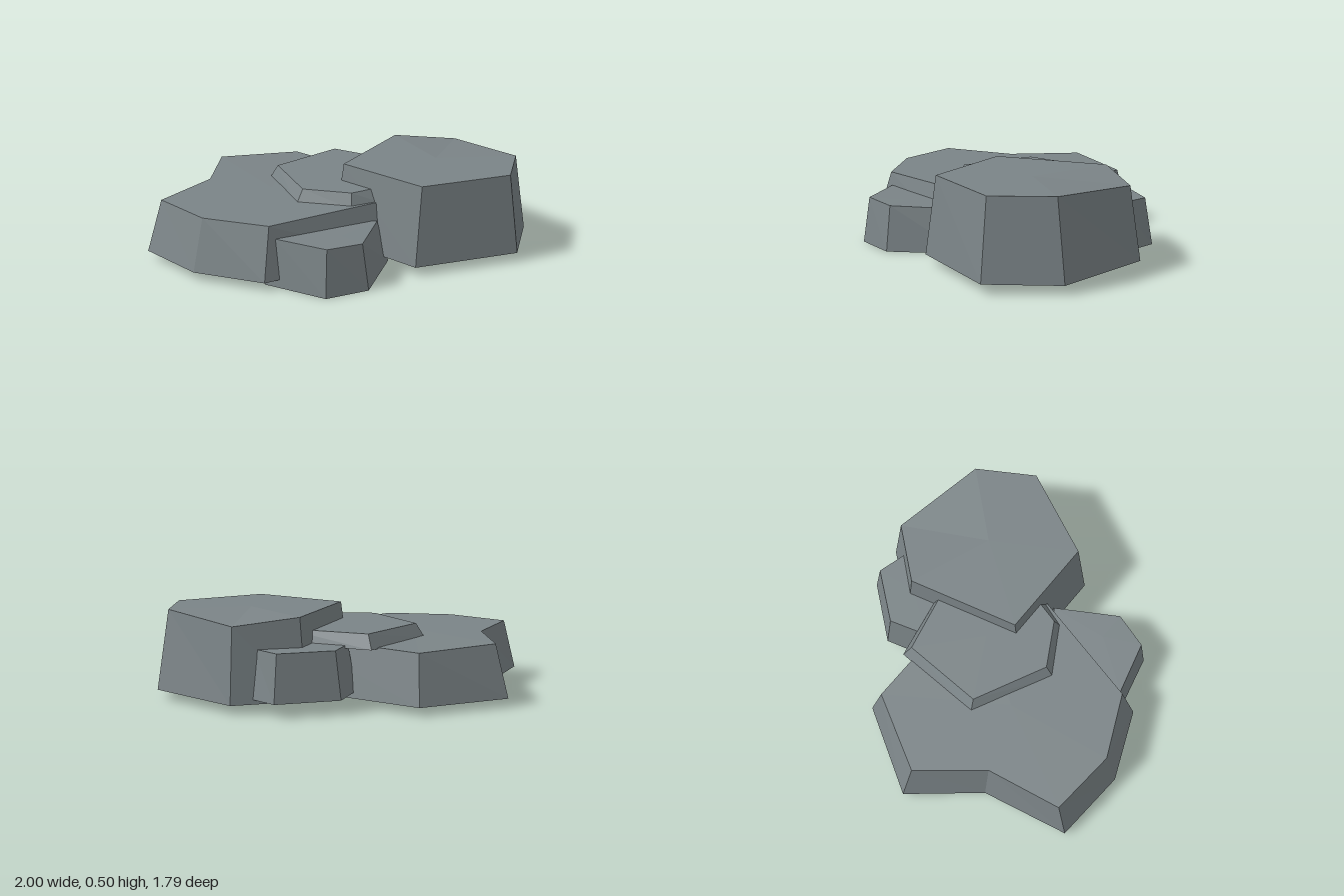
import * as THREE from 'three';

const stone = new THREE.MeshStandardMaterial({ color: 0x7b8487, side: THREE.DoubleSide });
stone.name = 'greyStone';

// Open-bottomed faceted boulder. Each corner is [baseX, baseZ, topX, topZ, optional topY],
// listed clockwise from above; the top is a fan around a centre point.
function boulder(name, baseY, topY, centre, corners) {
  const base = corners.map(([x, z]) => [x, baseY, z]);
  const top = corners.map(([, , x, z, y = topY]) => [x, y, z]);
  const mid = [centre[0], centre[2] ?? topY, centre[1]];
  const points = [];
  corners.forEach((_, i) => {
    const j = (i + 1) % corners.length;
    points.push(base[i], top[i], top[j], base[i], top[j], base[j]); // wall
    points.push(mid, top[j], top[i]); // top facet
  });
  const geometry = new THREE.BufferGeometry();
  geometry.setAttribute('position', new THREE.Float32BufferAttribute(points.flat(), 3));
  geometry.computeVertexNormals();
  const mesh = new THREE.Mesh(geometry, stone);
  mesh.name = name;
  return mesh;
}

export function createModel() {
  const group = new THREE.Group();
  group.name = 'rockCluster';

  group.add(
    // Broad low slab
    boulder('broadRock', 0.045, 0.335, [-0.33, 0.2], [
      [-1, -0.14, -0.915, -0.11],
      [-0.635, -0.545, -0.605, -0.475, 0.322],
      [0.28, -0.35, 0.24, -0.29],
      [0.38, 0.13, 0.31, 0.1],
      [0.04, 0.81, 0.015, 0.725],
      [-0.37, 0.89, -0.36, 0.81],
      [-0.78, 0.775, -0.73, 0.7],
      [-0.78, 0.27, -0.72, 0.265],
    ]),
    // Thin slab lying on the broad rock
    boulder('upperSlab', 0.32, 0.4, [-0.05, -0.1], [
      [-0.465, 0.02, -0.415, 0.01],
      [-0.34, -0.48, -0.305, -0.44],
      [0.2, -0.475, 0.18, -0.445],
      [0.33, 0.06, 0.28, 0.05],
      [0.225, 0.235, 0.205, 0.2],
      [-0.07, 0.335, -0.06, 0.285],
    ]),
    // Tall rock with its rear corner dipping
    boulder('tallRock', 0.05, 0.495, [0.44, -0.34], [
      [-0.03, -0.64, 0.018, -0.61],
      [0.29, -0.9, 0.305, -0.84, 0.46],
      [0.855, -0.68, 0.81, -0.62],
      [0.997, -0.28, 0.933, -0.285],
      [0.62, 0.21, 0.615, 0.145],
      [0.01, 0.085, 0.05, 0.03],
    ]),
    // Small rock behind
    boulder('backRock', 0.075, 0.335, [0.03, -0.62], [
      [-0.24, -0.66, -0.2, -0.64],
      [0.04, -0.89, 0.045, -0.845],
      [0.25, -0.795, 0.22, -0.755],
      [0.2, -0.4, 0.17, -0.42],
      [-0.22, -0.4, -0.18, -0.42],
    ]),
    // Small wedge in front
    boulder('frontRock', 0, 0.262, [0.3, 0.47, 0.256], [
      [-0.01, 0.735, 0.045, 0.705],
      [0.1, 0.22, 0.14, 0.25, 0.245],
      [0.38, 0.09, 0.335, 0.14, 0.242],
      [0.503, 0.51, 0.46, 0.505, 0.255],
      [0.37, 0.725, 0.355, 0.69],
    ]),
  );
  return group;
}
